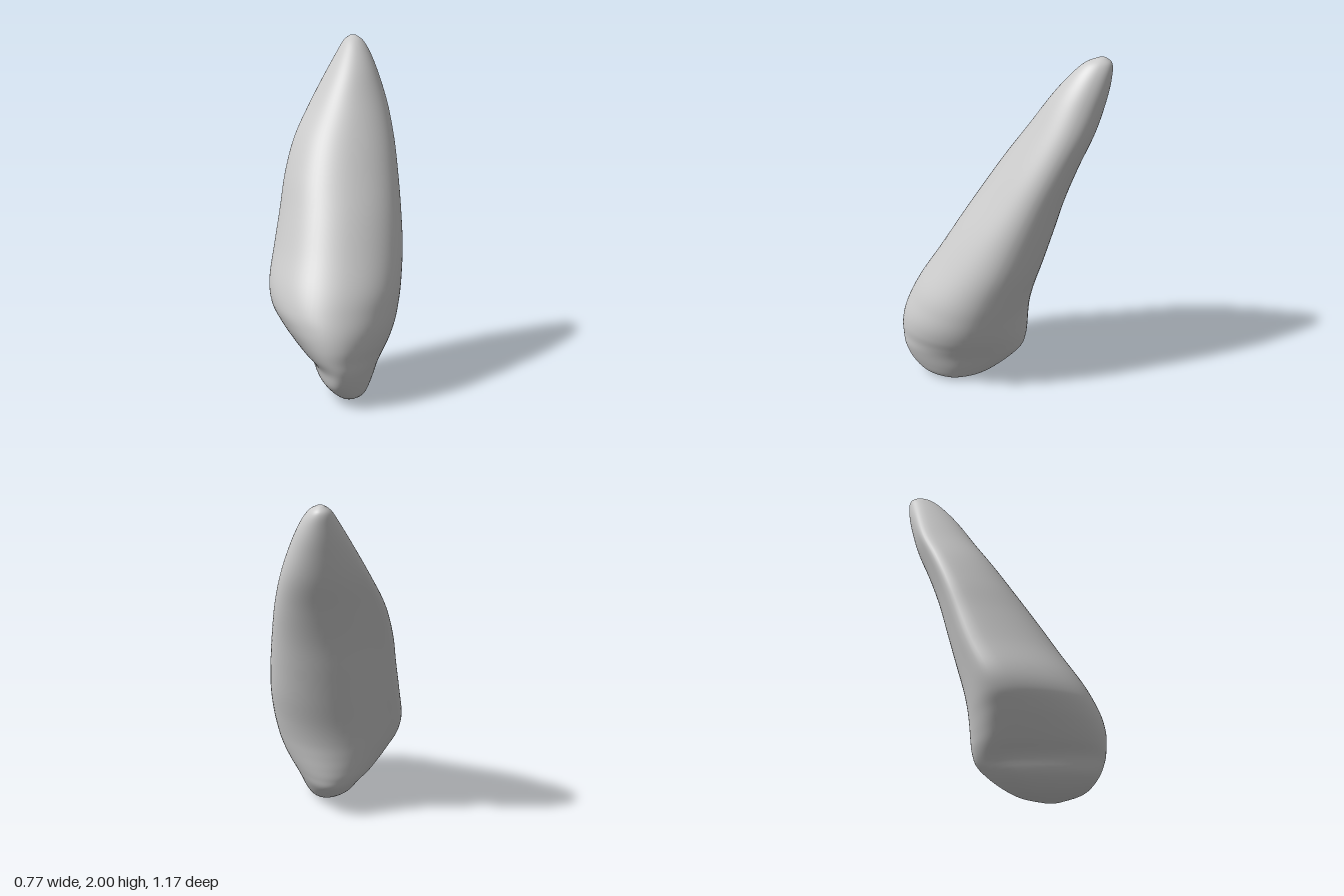
import * as THREE from 'three';

// Horizontal cross-sections: [y, xMin, xMax, zBack, zFront, twist, skew]
// twist slides the front edge towards -x; skew sets the -x edge back
const SECTIONS = [
  [0.00, 0.05, 0.11, 0.22, 0.34, 0.30, 0.20],
  [0.03, -0.035, 0.145, 0.09, 0.46, 0.30, 0.20],
  [0.10, -0.115, 0.18, -0.03, 0.535, 0.30, 0.22],
  [0.19, -0.155, 0.215, -0.125, 0.573, 0.26, 0.25],
  [0.26, -0.22, 0.25, -0.152, 0.583, 0.22, 0.25],
  [0.33, -0.275, 0.285, -0.16, 0.585, 0.17, 0.25],
  [0.41, -0.33, 0.315, -0.165, 0.57, 0.11, 0.25],
  [0.50, -0.375, 0.338, -0.175, 0.535, 0.05, 0.28],
  [0.62, -0.385, 0.36, -0.20, 0.475, 0, 0.34],
  [0.80, -0.352, 0.38, -0.25, 0.362, 0, 0.42],
  [1.00, -0.315, 0.383, -0.305, 0.24, 0, 0.44],
  [1.20, -0.28, 0.378, -0.36, 0.112, 0, 0.45],
  [1.40, -0.22, 0.367, -0.43, -0.015, 0, 0.45],
  [1.60, -0.12, 0.34, -0.51, -0.145, 0, 0.42],
  [1.78, -0.02, 0.293, -0.56, -0.26, 0, 0.30],
  [1.90, 0.05, 0.25, -0.58, -0.355, 0, 0.15],
  [1.97, 0.095, 0.21, -0.578, -0.43, 0, 0.05],
  [2.00, 0.135, 0.17, -0.545, -0.50, 0, 0],
];
const LAST = SECTIONS.length - 1, ROWS = 102, SIDES = 72;

// Smooth spline through one column of the section table
function column(i) {
  const curve = new THREE.SplineCurve(SECTIONS.map((s, k) => new THREE.Vector2(k, s[i])));
  return (t) => curve.getPoint(t).y;
}

const signedPower = (n, p) => Math.sign(n) * Math.abs(n) ** p;

function bodyGeometry() {
  const cols = SECTIONS[0].map((_, i) => column(i));
  const pos = [], index = [];
  for (let r = 0; r <= ROWS; r++) {
    const [y, x0, x1, z0, z1, twist, skew] = cols.map((f) => f(r / ROWS));
    const cx = (x0 + x1) / 2, cz = (z0 + z1) / 2, rx = (x1 - x0) / 2, rz = (z1 - z0) / 2;
    for (let s = 0; s < SIDES; s++) {
      const a = (s / SIDES) * Math.PI * 2, d = Math.sin(a);
      // Slightly thinner corners in front, fuller ones behind
      const power = d > 0 ? 1.04 : 0.95;
      const u = signedPower(Math.cos(a + twist * Math.max(0, d)), power);
      const v = signedPower(d, power);
      const shift = u < 0 ? skew * u * u * (1 - v * v) : 0;
      pos.push(cx + u * rx, y, cz + (v - shift) * rz);
    }
  }
  for (let r = 0; r < ROWS; r++) {
    for (let s = 0; s < SIDES; s++) {
      const a = r * SIDES + s, b = r * SIDES + (s + 1) % SIDES;
      index.push(a, a + SIDES, b, b, a + SIDES, b + SIDES);
    }
  }
  // Close both rounded ends with a centre point
  [0, ROWS].forEach((r) => {
    const sec = SECTIONS[r ? LAST : 0], centre = pos.length / 3;
    pos.push((sec[1] + sec[2]) / 2, sec[0], (sec[3] + sec[4]) / 2);
    for (let s = 0; s < SIDES; s++) {
      const a = r * SIDES + s, b = r * SIDES + (s + 1) % SIDES;
      if (r) index.push(a, centre, b); else index.push(a, b, centre);
    }
  });
  const geo = new THREE.BufferGeometry();
  geo.setAttribute('position', new THREE.Float32BufferAttribute(pos, 3));
  geo.setIndex(index);
  geo.computeVertexNormals();
  return geo;
}

export function createModel() {
  const group = new THREE.Group();
  group.name = 'leaningStone';
  const body = new THREE.Mesh(bodyGeometry(), new THREE.MeshStandardMaterial({ color: 0xcccccc }));
  body.name = 'stoneBody';
  group.add(body);
  return group;
}
